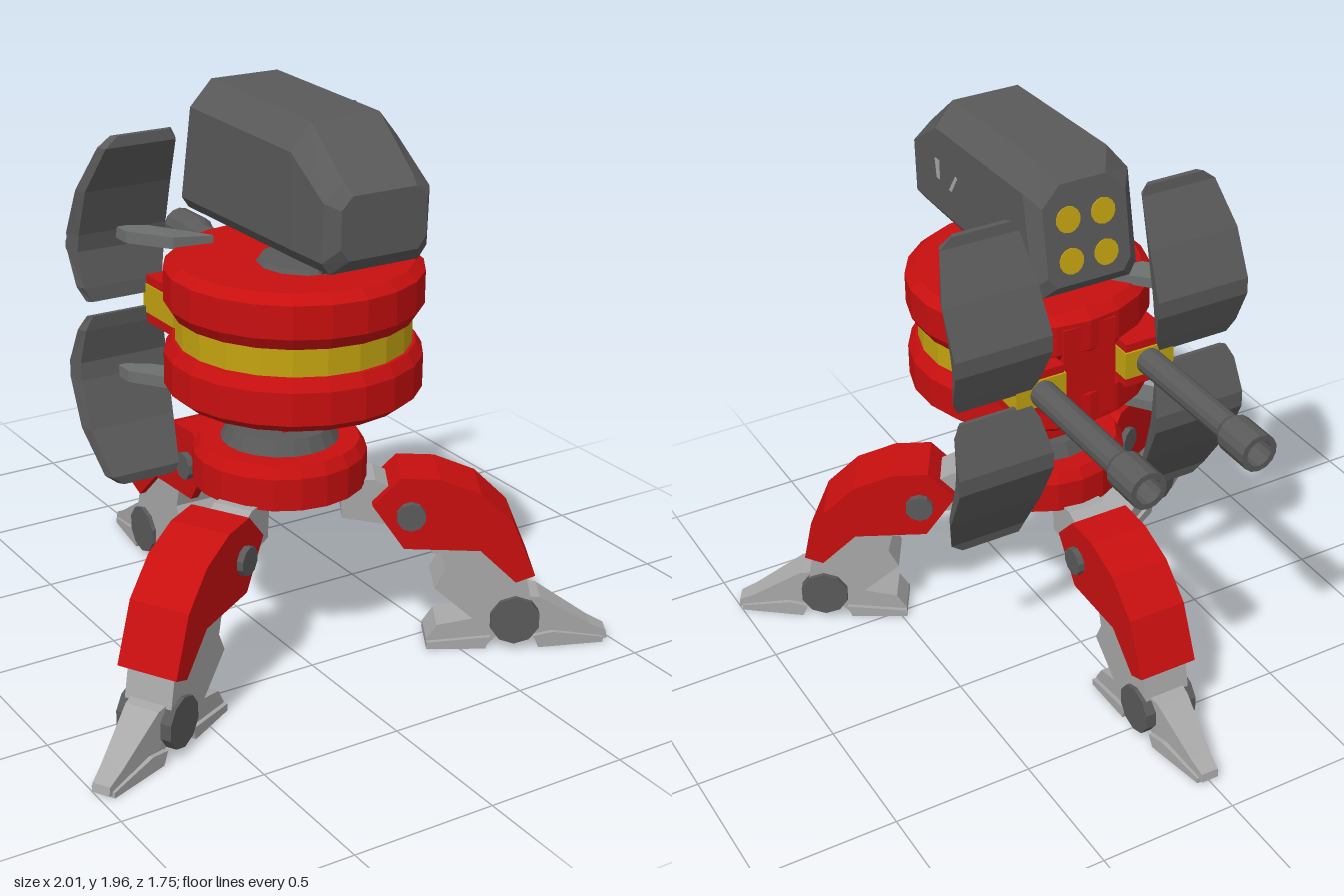
import * as THREE from 'three';

const mat = (name, color) => Object.assign(new THREE.MeshStandardMaterial({ color }), { name });

export function createModel() {
  const red = mat('red armour', 0xc80f0f);
  const dark = mat('dark grey metal', 0x5a5a5a);
  const light = mat('light grey metal', 0xa8a8a8);
  const yellow = mat('yellow trim', 0xc4a410);
  const mid = mat('medium grey metal', 0x6c706f);
  const model = new THREE.Group();

  // faceted mesh helper
  const add = (parent, name, geometry, material, x = 0, y = 0, z = 0) => {
    const g = geometry.index ? geometry.toNonIndexed() : geometry;
    g.computeVertexNormals();
    const m = new THREE.Mesh(g, material);
    m.name = name;
    m.position.set(x, y, z);
    parent.add(m);
    return m;
  };
  const box = (w, h, d) => new THREE.BoxGeometry(w, h, d);
  const lathe = (pts, n = 20) => new THREE.LatheGeometry(pts.map(p => new THREE.Vector2(...p)), n);
  // side profile extruded to a width centred on z
  const slab = (pts, width) => {
    const s = new THREE.Shape(pts.map(p => new THREE.Vector2(...p)));
    return new THREE.ExtrudeGeometry(s, { depth: width, bevelEnabled: false }).translate(0, 0, -width / 2);
  };
  // closed skin over rings of equal point count, always facing outwards
  const loft = rings => {
    const n = rings[0].length, tris = [];
    for (let i = 0; i + 1 < rings.length; i++) for (let j = 0; j < n; j++) {
      const k = (j + 1) % n, a = rings[i], b = rings[i + 1];
      tris.push([a[j], a[k], b[k]], [a[j], b[k], b[j]]);
    }
    const last = rings[rings.length - 1];
    for (let j = 1; j + 1 < n; j++) {
      tris.push([rings[0][0], rings[0][j + 1], rings[0][j]], [last[0], last[j], last[j + 1]]);
    }
    const c = new THREE.Vector3();
    rings.flat().forEach(p => c.add(new THREE.Vector3(...p)));
    c.divideScalar(n * rings.length);
    let volume = 0;
    for (const t of tris) {
      const [p, q, r] = t.map(v => new THREE.Vector3(...v).sub(c));
      volume += p.dot(q.cross(r));
    }
    if (volume < 0) tris.forEach(t => t.reverse());
    const g = new THREE.BufferGeometry();
    g.setAttribute('position', new THREE.Float32BufferAttribute(tris.flat(2), 3));
    return g;
  };

  // ---- three legs, built along local +x ----
  const outer = [[0.31, 0.56], [0.405, 0.66], [0.535, 0.655], [0.675, 0.6], [0.79, 0.49], [0.87, 0.295]];
  const under = [[0.805, 0.27], [0.68, 0.39], [0.42, 0.4]];
  const cover = [...outer, [0.83, 0.28], [0.76, 0.46], [0.66, 0.56], [0.53, 0.615], [0.42, 0.62], [0.335, 0.535]];
  const leg = angle => {
    const g = new THREE.Group();
    g.name = 'leg';
    g.position.z = 0.28;
    g.rotation.y = angle;
    model.add(g);
    add(g, 'hipBracket', slab([[0.2, 0.64], [0.32, 0.64], [0.4, 0.6], [0.45, 0.5], [0.39, 0.47], [0.21, 0.5]], 0.14), light);
    add(g, 'innerThigh', slab([[0.38, 0.58], [0.54, 0.6], [0.68, 0.54], [0.74, 0.42], [0.53, 0.36], [0.42, 0.45]], 0.13), light);
    add(g, 'thighCover', slab(cover, 0.21), red);
    for (const s of [-1, 1]) add(g, 'thighSide', slab([...outer, ...under], 0.03), red, 0, 0, s * 0.092);
    add(g, 'hipBolt', new THREE.CylinderGeometry(0.05, 0.05, 0.26, 10).rotateX(Math.PI / 2), dark, 0.44, 0.525, 0);
    add(g, 'shin', slab([[0.535, 0.42], [0.565, 0.31], [0.53, 0.24], [0.68, 0.11], [0.8, 0.06], [0.88, 0.12],
      [0.845, 0.28], [0.76, 0.42]], 0.17), light);
    add(g, 'ankleBolt', new THREE.CylinderGeometry(0.088, 0.088, 0.2, 10).rotateX(Math.PI / 2), dark, 0.81, 0.12, 0);
    // toe narrows towards its tip
    const taper = geo => {
      const p = geo.attributes.position;
      for (let i = 0; i < p.count; i++) {
        p.setZ(i, p.getZ(i) * (1 - 0.55 * THREE.MathUtils.clamp((p.getX(i) - 0.82) / 0.32, 0, 1)));
      }
      return geo;
    };
    add(g, 'toe', taper(slab([[0.78, 0.1], [0.82, 0.2], [0.9, 0.19], [1.08, 0.075], [1.14, 0.045], [1.145, 0.015],
      [0.92, 0.015]], 0.14)), light);
    add(g, 'toeSole', taper(slab([[0.88, 0.05], [0.95, 0.06], [1.13, 0.025], [1.13, 0.005], [0.9, 0.005]], 0.18)), light);
    add(g, 'heel', slab([[0.51, 0.005], [0.51, 0.035], [0.545, 0.09], [0.74, 0.13], [0.755, 0.05], [0.715, 0.005]], 0.14), light);
    add(g, 'heelSole', slab([[0.51, 0.005], [0.51, 0.03], [0.73, 0.05], [0.715, 0.005]], 0.17), light);
  };
  [Math.PI / 2, -Math.PI / 6, -Math.PI * 5 / 6].forEach(leg);

  // ---- base and swivel ----
  add(model, 'baseRing', lathe([[0, 0.63], [0.295, 0.63], [0.295, 0.74], [0.27, 0.78], [0, 0.78]]), red, 0, 0, 0.28);
  add(model, 'baseCollar', lathe([[0, 0.77], [0.2, 0.78], [0.175, 0.83], [0, 0.83]]), dark, 0, 0, 0.28);
  add(model, 'swivelPost', box(0.13, 0.06, 0.16), red, 0, 0.84, 0.27);
  add(model, 'swivelBlock', box(0.145, 0.15, 0.3), red, 0, 0.925, 0.27);
  add(model, 'swivelBolt', new THREE.CylinderGeometry(0.045, 0.045, 0.19, 10).rotateZ(Math.PI / 2), dark, 0, 0.97, 0.275);

  // ---- drum body ----
  const drum = [[0, 0], [0.39, 0], [0.425, 0.03], [0.425, 0.14], [0.4, 0.18], [0, 0.18]];
  add(model, 'lowerDrum', lathe(drum, 22), red, 0, 0.98, 0.36);
  add(model, 'upperDrum', lathe(drum.map(([r, y]) => [r, 0.18 - y]).reverse(), 22), red, 0, 1.255, 0.36);
  add(model, 'drumBand', lathe([[0, 1.15], [0.388, 1.15], [0.388, 1.265], [0, 1.265]], 22), yellow, 0, 0, 0.36);
  add(model, 'rearBlock', box(0.2, 0.36, 0.2), red, 0, 1.21, 0.04);

  // ---- twin guns ----
  const barrel = [[0, 0], [0.047, 0], [0.047, 0.55], [0.066, 0.58], [0.066, 0.72], [0.046, 0.72], [0.046, 0.6], [0, 0.6]];
  for (const s of [-1, 1]) {
    add(model, 'gunMount', box(0.18, 0.165, 0.2), red, s * 0.21, 1.207, 0.005);
    add(model, 'gunMountBand', box(0.19, 0.1, 0.205), yellow, s * 0.21, 1.21, 0.0);
    add(model, 'gunBarrel', lathe(barrel, 14).rotateX(-Math.PI / 2), dark, s * 0.205, 1.21, -0.04);
  }

  // ---- four curved shields and their arms: y, inner x, outer x, back z, thickness ----
  const rows = [[1.81, 0.25, 0.47, 0.0, 0.02], [1.775, 0.23, 0.515, -0.005, 0.03], [1.62, 0.21, 0.555, -0.09, 0.04],
    [1.46, 0.2, 0.555, -0.165, 0.06], [1.4, 0.2, 0.555, -0.165, 0.05], [1.28, 0.225, 0.545, -0.12, 0.03],
    [1.23, 0.25, 0.52, -0.1, 0.015]];
  for (const sx of [-1, 1]) for (const up of [true, false]) {
    const fy = y => (up ? y : 2.41 - y);
    add(model, 'shield', loft(rows.map(([y, a, b, z, t]) =>
      [[a, z], [b, z], [b - 0.015, z + t], [a + 0.015, z + t]].map(([x, d]) => [sx * x, fy(y), d]))), dark);
    const arm = [[0.16, 0.12, 0.11, 0.03], [0.3, 0.1, -0.06, 0.04], [0.4, -0.04, -0.13, 0.04]];
    add(model, 'shieldArm', loft(arm.map(([x, z0, z1, h]) =>
      [[1.43, z0], [1.43, z1], [1.43 + h, z1], [1.43 + h, z0]].map(([y, z]) => [sx * x, fy(y), z]))), mid);
  }

  // ---- launcher head: bottom y, top y, half width, bottom z, top z ----
  add(model, 'headPlate', lathe([[0, 1.42], [0.17, 1.42], [0.15, 1.45], [0, 1.45]], 12), dark, 0, 0, 0.43);
  add(model, 'headNeck', loft([[0.59, 0.43, 1.44], [0.66, 0.45, 1.54]].map(([a, b, y]) =>
    [[-0.045, y, a], [0.045, y, a], [0.045, y, b], [-0.045, y, b]])), dark);
  const head = [[1.56, 1.9, 0.155, -0.065, -0.01], [1.52, 1.965, 0.195, -0.035, 0.05], [1.52, 1.95, 0.195, 0.64, 0.64],
    [1.52, 1.805, 0.192, 0.81, 0.82], [1.57, 1.77, 0.155, 0.86, 0.86]];
  add(model, 'launcherHead', loft(head.map(([b, t, w, zb, zt], i) => {
    const c = (t - b) * 0.2, d = 0.04, zAt = y => zb + (zt - zb) * (y - b) / (t - b);
    const half = [[w - 0.03, b], [w, b + d], [w, t - c], [w - (i === 4 ? 0.04 : 0.07), t]];
    return [...half, ...half.map(([x, y]) => [-x, y]).reverse()].map(([x, y]) => [x, y, zAt(y)]);
  })), dark);
  // launch tubes on the sloping rear face
  const slope = 0.055 / 0.34;
  for (const x of [-0.065, 0.065]) for (const y of [1.64, 1.78]) {
    const tube = add(model, 'launchTube', new THREE.CylinderGeometry(0.045, 0.045, 0.008, 14).rotateX(Math.PI / 2),
      yellow, x, y, -0.065 + (y - 1.56) * slope);
    tube.rotation.x = Math.atan(slope);
  }
  // pale plates on the left cheek
  add(model, 'cheekPlate', slab([[0.06, 1.57], [0.08, 1.61], [0.11, 1.63], [0.17, 1.63], [0.21, 1.59], [0.21, 1.575]], 0.006)
    .rotateY(-Math.PI / 2), light, 0.195, 0, 0);
  add(model, 'cheekMark', slab([[0.62, 1.68], [0.64, 1.68], [0.65, 1.75], [0.62, 1.75]], 0.006)
    .rotateY(-Math.PI / 2), light, 0.195, 0, 0);
  add(model, 'cheekMark', slab([[0.53, 1.67], [0.55, 1.67], [0.5, 1.74], [0.49, 1.73]], 0.006)
    .rotateY(-Math.PI / 2), light, 0.195, 0, 0);
  return model;
}
